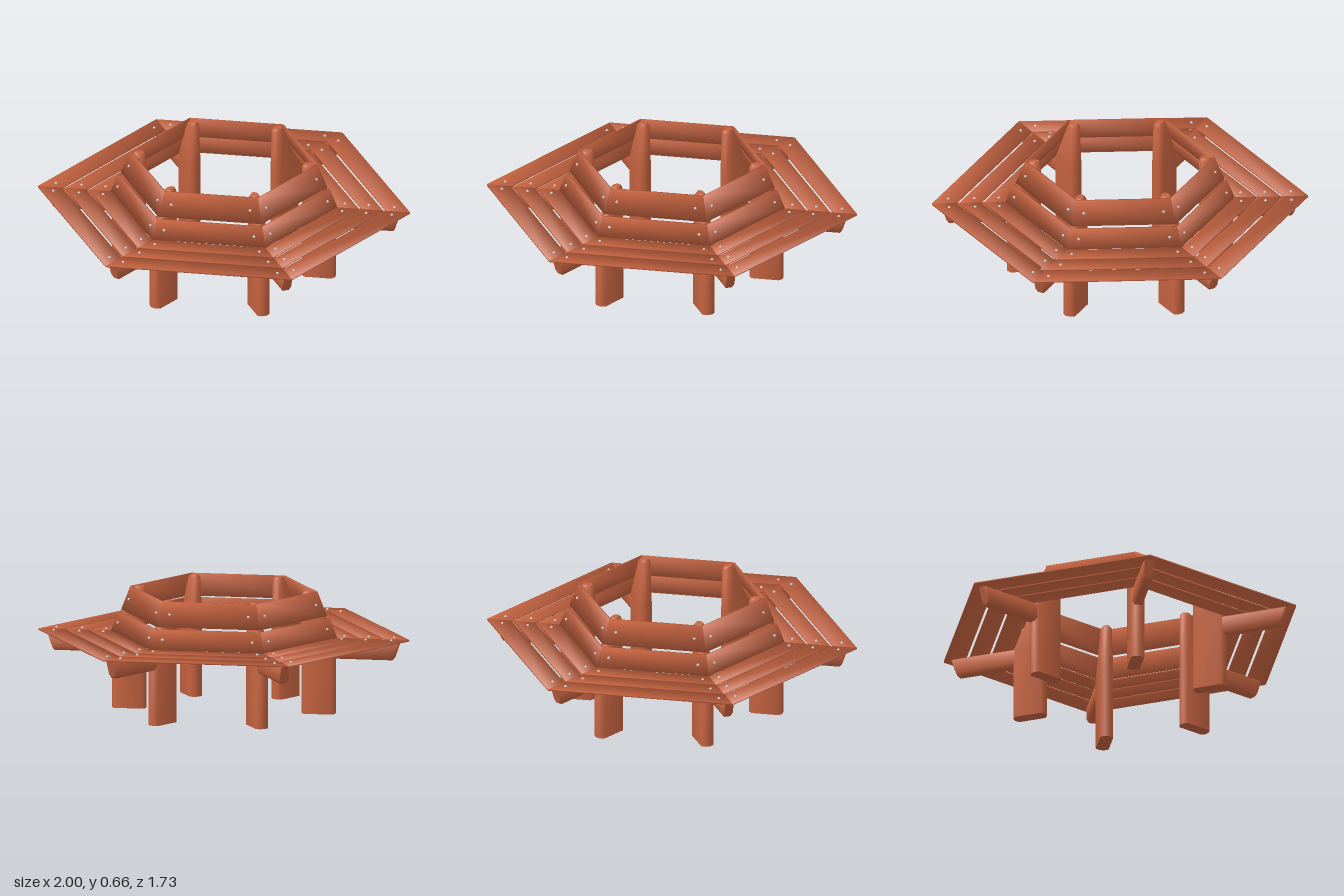
import * as THREE from 'three';

const wood = new THREE.MeshStandardMaterial({ color: 0xc4623f });
const steel = new THREE.MeshStandardMaterial({ color: 0xcccccc });
const TAN30 = Math.tan(Math.PI / 6);

// Skins equal-length rings of [x, y, z]; each ring runs counter-clockwise seen from the sweep's end.
// softEnds shares the end caps' normals with the sides.
function loft(rings, softEnds) {
  const n = rings[0].length, last = rings.length - 1;
  const points = rings.flat().map(p => new THREE.Vector3(...p));
  const faces = [];
  for (let i = 0; i < last; i++) {
    for (let j = 0; j < n; j++) {
      const k = (j + 1) % n;
      faces.push([i * n + j, i * n + k, (i + 1) * n + k, (i + 1) * n + j]);
    }
  }
  const cap = (ring, flip) => {
    let ids = rings[ring].map((_, j) => ring * n + j);
    if (!softEnds) ids = ids.map(id => points.push(points[id].clone()) - 1);
    faces.push(flip ? ids.reverse() : ids);
  };
  cap(0, true);
  cap(last, false);

  // every face counts equally in the vertex normals
  const normals = points.map(() => new THREE.Vector3());
  const index = [];
  for (const f of faces) {
    const normal = new THREE.Vector3();
    f.forEach((id, j) => normal.add(points[id].clone().cross(points[f[(j + 1) % f.length]])));
    normal.normalize();
    f.forEach(id => normals[id].add(normal));
    for (let j = 1; j < f.length - 1; j++) index.push(f[0], f[j], f[j + 1]);
  }
  const g = new THREE.BufferGeometry();
  g.setAttribute('position', new THREE.Float32BufferAttribute(points.flatMap(p => p.toArray()), 3));
  g.setAttribute('normal', new THREE.Float32BufferAttribute(normals.flatMap(v => v.normalize().toArray()), 3));
  g.setIndex(index);
  return g;
}

// Mitred board on the +z side; profile points are [z, y]
function boardGeometry(profile) {
  const end = s => profile.map(([z, y]) => [s * (z * TAN30 - 0.001), y, z]);
  return loft([end(-1), end(1)], true);
}

// Horizontal slice of a post: a long bar with cut corners, from radius r0 to r1
function postRing(y, r0, r1, w) {
  const t = w * 0.4, c = 0.016;
  return [[r1, t], [r1, -t], [r1 - c, -w], [r0 + c, -w], [r0, -t], [r0, t], [r0 + c, w], [r1 - c, w]]
    .map(([x, z]) => [x, y, z]);
}

// Cross-slice of an arm; its end leans back by "lean" at the bottom
function armRing(r, y0, y1, w, lean) {
  const t = w * 0.6, c = 0.02;
  return [[y0, -t], [y0 + c, -w], [y1 - 0.01, -w], [y1, -t], [y1, t], [y1 - 0.01, w], [y0 + c, w], [y0, t]]
    .map(([y, z]) => [r - lean * (y1 - y) / (y1 - y0), y, z]);
}

export function createModel() {
  const model = new THREE.Group();
  model.name = 'hexagonalBench';

  // Seat slats: inner and outer distance from the centre
  const boards = [[0.755, 0.866], [0.642, 0.74], [0.53, 0.628]].map(([a, b]) => ({
    name: 'seatSlat',
    profile: [[a, 0.402], [a, 0.41], [b, 0.41], [b, 0.402]],
    screw: [(a + b) / 2, 0.41],
  }));
  // Leaning back boards: bottom and top as [distance, height]
  for (const [[z0, y0], [z1, y1]] of [[[0.528, 0.41], [0.493, 0.515]], [[0.481, 0.525], [0.437, 0.655]]]) {
    boards.push({
      name: 'backBoard',
      profile: [[z0 - 0.008, y0], [z1 - 0.008, y1], [z1, y1], [z0, y0]],
      screw: [(z0 + z1) / 2, (y0 + y1) / 2],
    });
  }
  for (const b of boards) b.geometry = boardGeometry(b.profile);

  const postGeometry = loft([
    postRing(0, 0.42, 0.6, 0.035),
    postRing(0.4, 0.42, 0.6, 0.035),
    postRing(0.64, 0.42, 0.492, 0.027),
    postRing(0.656, 0.43, 0.48, 0.018),
  ], false);
  const armGeometry = loft([
    armRing(0.5, 0.3, 0.402, 0.029, 0),
    armRing(0.94, 0.3, 0.402, 0.029, 0.03),
    armRing(0.95, 0.31, 0.402, 0.022, 0.03),
  ], false);
  const screwGeometry = new THREE.SphereGeometry(0.008, 10, 6);

  const add = (parent, name, geometry, material) => {
    const mesh = new THREE.Mesh(geometry, material);
    mesh.name = name;
    parent.add(mesh);
    return mesh;
  };

  for (let k = 0; k < 6; k++) {
    // One side of boards with a screw near each mitre
    const side = new THREE.Group();
    side.name = 'benchSide';
    side.rotation.y = k * Math.PI / 3;
    for (const b of boards) {
      add(side, b.name, b.geometry, wood);
      const [z, y] = b.screw;
      for (const s of [-1, 1]) {
        add(side, 'screw', screwGeometry, steel).position.set(s * (z * TAN30 - 0.053), y, z);
      }
    }
    // One corner support
    const support = new THREE.Group();
    support.name = 'cornerSupport';
    support.rotation.y = k * Math.PI / 3;
    add(support, 'post', postGeometry, wood);
    add(support, 'seatArm', armGeometry, wood);
    model.add(side, support);
  }
  return model;
}
